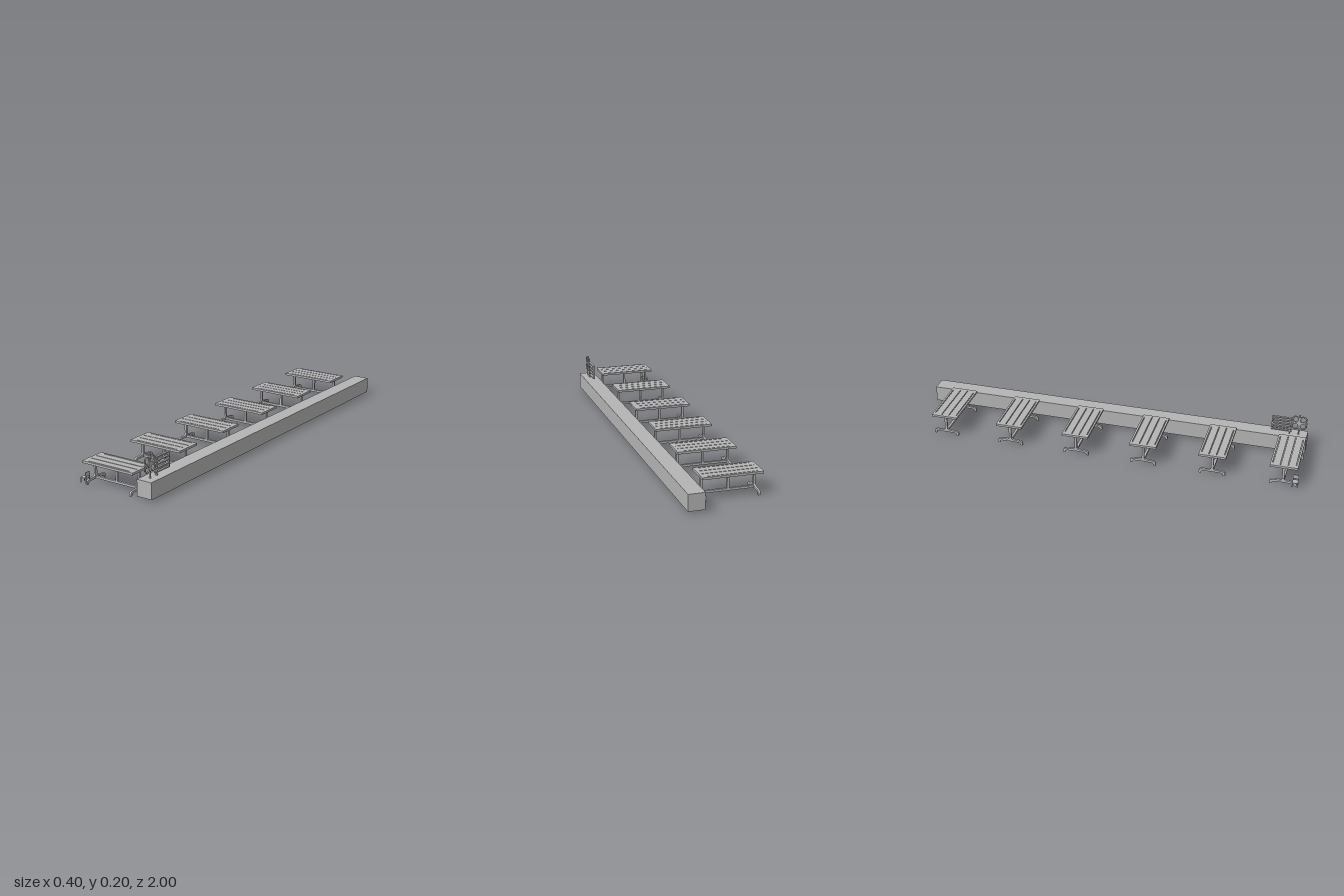
import * as THREE from 'three';

const gray = new THREE.MeshStandardMaterial({ color: 0xb4b4b4 });
gray.name = 'plain gray';

function add(parent, name, geometry, x = 0, y = 0, z = 0) {
  const mesh = new THREE.Mesh(geometry, gray);
  mesh.name = name;
  mesh.position.set(x, y, z);
  parent.add(mesh);
  return mesh;
}

// Box given by its lower and upper corners
function box(parent, name, [x0, y0, z0], [x1, y1, z1]) {
  return add(parent, name, new THREE.BoxGeometry(x1 - x0, y1 - y0, z1 - z0),
    (x0 + x1) / 2, (y0 + y1) / 2, (z0 + z1) / 2);
}

// Table top layer with four narrow slots
function slottedTop(x0, x1, half, thickness) {
  const shape = new THREE.Shape();
  shape.moveTo(x0, -half).lineTo(x1, -half).lineTo(x1, half).lineTo(x0, half).closePath();
  for (const z of [-0.057, -0.019, 0.019, 0.057]) {
    const inset = Math.abs(z) > 0.03 ? 0.025 : 0.014;
    const slot = new THREE.Path();
    slot.moveTo(x0 + inset, z - 0.002).lineTo(x0 + inset, z + 0.002)
      .lineTo(x1 - inset, z + 0.002).lineTo(x1 - inset, z - 0.002).closePath();
    shape.holes.push(slot);
  }
  const geo = new THREE.ExtrudeGeometry(shape, { depth: thickness, bevelEnabled: false });
  return geo.rotateX(-Math.PI / 2);
}

// Arched foot bar whose ends curve down to the ground
function footGeometry(width) {
  const s = new THREE.Shape();
  s.moveTo(-0.066, 0).lineTo(-0.066, 0.01).quadraticCurveTo(-0.065, 0.022, -0.052, 0.023);
  s.lineTo(-0.014, 0.026).quadraticCurveTo(-0.007, 0.027, -0.006, 0.036);
  s.lineTo(0.006, 0.036).quadraticCurveTo(0.007, 0.027, 0.014, 0.026);
  s.lineTo(0.052, 0.023).quadraticCurveTo(0.065, 0.022, 0.066, 0.01);
  s.lineTo(0.066, 0).lineTo(0.055, 0).quadraticCurveTo(0.055, 0.012, 0.046, 0.013);
  s.lineTo(0, 0.015).lineTo(-0.046, 0.013).quadraticCurveTo(-0.055, 0.012, -0.055, 0).closePath();
  const geo = new THREE.ExtrudeGeometry(s, { depth: width, bevelEnabled: false, curveSegments: 5 });
  return geo.translate(0, 0, -width / 2).rotateY(-Math.PI / 2);
}

const topGeo = slottedTop(-0.195, 0.098, 0.068, 0.006);
const footGeo = footGeometry(0.011);

function createTable(z) {
  const table = new THREE.Group();
  table.name = 'table';
  table.position.z = z;
  box(table, 'topBase', [-0.195, 0.104, -0.068], [0.098, 0.109, 0.068]);
  add(table, 'slottedTop', topGeo, 0, 0.109, 0);
  // End trestles
  for (const x of [-0.175, 0.08]) {
    add(table, 'foot', footGeo, x, 0, 0);
    box(table, 'post', [x - 0.005, 0.03, -0.006], [x + 0.005, 0.104, 0.006]);
  }
  // Stretcher with middle post
  box(table, 'stretcher', [-0.17, 0.015, -0.006], [0.075, 0.026, 0.006]);
  box(table, 'middlePost', [-0.0535, 0.026, -0.006], [-0.0425, 0.104, 0.006]);
  return table;
}

// Small chair facing -x
function createChair() {
  const chair = new THREE.Group();
  chair.name = 'smallChair';
  box(chair, 'seat', [-0.203, 0.032, 0.972], [-0.17, 0.035, 1]);
  box(chair, 'backrest', [-0.173, 0.042, 0.972], [-0.17, 0.063, 1]);
  for (const z of [0.972, 0.997]) {
    box(chair, 'frontLeg', [-0.203, 0.009, z], [-0.2, 0.032, z + 0.003]);
    box(chair, 'rearLeg', [-0.173, 0.009, z], [-0.17, 0.042, z + 0.003]);
  }
  return chair;
}

// Railed panel with a ring ornament at its front end
function createRailing() {
  const railing = new THREE.Group();
  railing.name = 'railing';
  const x0 = 0.155, x1 = 0.166;
  for (let i = 0; i < 5; i++) {
    const y = 0.103 + i * 0.0175;
    box(railing, 'rail', [x0, y, 0.813], [x1, y + 0.006, 0.912]);
  }
  for (const z of [0.81, 0.9]) {
    box(railing, 'upright', [x0, z > 0.85 ? 0.09 : 0.103, z], [x1, 0.179, z + 0.006]);
  }
  const ornament = new THREE.Group();
  ornament.name = 'ringOrnament';
  ornament.position.set((x0 + x1) / 2, 0.157, 0.948);
  ornament.rotation.y = Math.PI / 2;
  railing.add(ornament);
  for (let i = 0; i < 4; i++) {
    const a = Math.PI / 4 + i * Math.PI / 2;
    add(ornament, 'petalRing', new THREE.TorusGeometry(0.016, 0.004, 6, 16),
      0.027 * Math.cos(a), 0.027 * Math.sin(a), 0);
  }
  const hub = add(ornament, 'hub', new THREE.CylinderGeometry(0.011, 0.011, 0.011, 14));
  hub.rotation.x = Math.PI / 2;
  box(ornament, 'stem', [-0.003, -0.067, -0.004], [0.003, 0.044, 0.004]);
  box(ornament, 'crossBar', [-0.04, -0.003, -0.004], [0.04, 0.003, 0.004]);
  return railing;
}

export function createModel() {
  const model = new THREE.Group();
  model.name = 'diningRow';
  box(model, 'longWall', [0.12, 0.01, -1], [0.201, 0.091, 0.992]);
  for (let i = 0; i < 6; i++) model.add(createTable(0.926 - i * 0.3497));
  model.add(createRailing(), createChair());
  return model;
}
